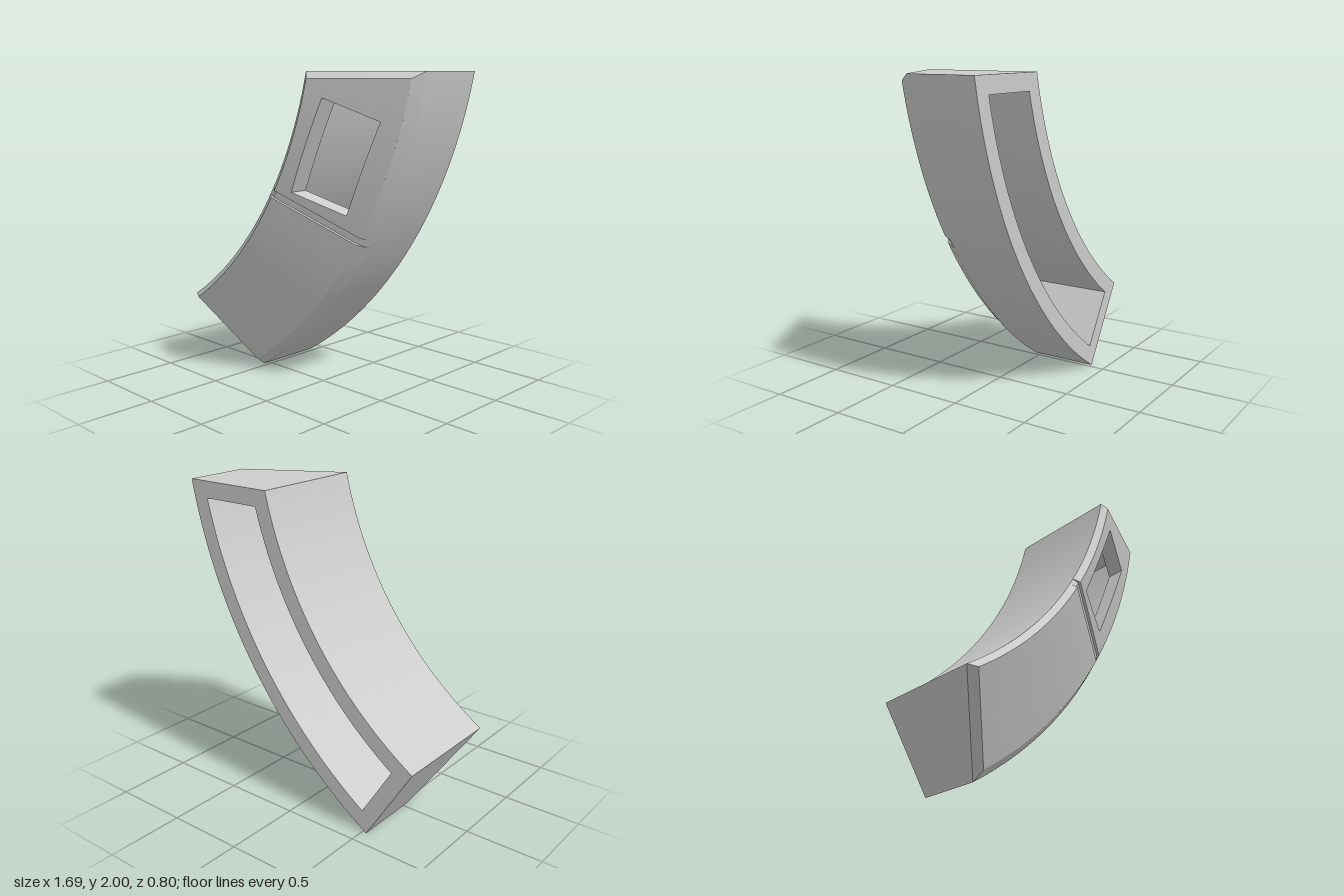
import * as THREE from 'three';
import { mergeGeometries, toCreasedNormals } from 'three/addons/utils/BufferGeometryUtils.js';

// Arc centre, radii, wall thickness, chamfer inset and drop, groove size, back plane
const CX = -2.13, CY = 2.565, RI = 2.423, RO = 3.023;
const WALL = 0.105, INSET = 0.041, DROP = 0.053, PANEL = 0.12, BACK = -0.4;
const GROOVE = 0.02, GROOVE_ANGLE = -0.552, GROOVE_HALF = 0.026;
const LOW_ANGLE = Math.atan2(-2.565, 1.6);
const WINDOW = [[0.08, 1.29], [0.37, 1.16], [0.62, 1.72], [0.33, 1.85]];

const lerp = THREE.MathUtils.lerp;
const point = (r, a, z) => [CX + r * Math.cos(a), CY + r * Math.sin(a), z];

// Sloping front and the parallel surface behind it
const front = r => 0.4 - 0.542 * (r - RI - INSET);
const rear = r => front(r) - PANEL;

// Angles of the end lines (inset by d) and of the groove edges
const low = (r, d) => LOW_ANGLE + Math.asin(d / r);
const high = (r, d) => Math.asin((2 - d - CY) / r);
const groove1 = r => GROOVE_ANGLE - Math.asin(GROOVE_HALF / r);
const groove2 = r => GROOVE_ANGLE + Math.asin(GROOVE_HALF / r);
const SECTIONS = [
  { from: low, to: groove1, cut: 0, n: 20 },
  { from: groove1, to: groove2, cut: GROOVE, n: 1 },
  { from: groove2, to: high, cut: 0, n: 20 },
];

// Grid surface from f(u, v); it faces along du x dv unless flipped
function patch(f, nu, nv, flip = false) {
  const pos = [], index = [];
  for (let j = 0; j <= nv; j++)
    for (let i = 0; i <= nu; i++) pos.push(...f(flip ? 1 - i / nu : i / nu, j / nv));
  for (let j = 0; j < nv; j++)
    for (let i = 0; i < nu; i++) {
      const a = j * (nu + 1) + i, b = a + 1, c = b + nu + 1, d = a + nu + 1;
      index.push(a, b, c, a, c, d);
    }
  const g = new THREE.BufferGeometry();
  g.setAttribute('position', new THREE.Float32BufferAttribute(pos, 3));
  g.setIndex(index);
  return g;
}

// Cavity side, back rim, outer side and chamfer, swept round all four edges
function buildWalls() {
  const stations = [
    [WALL, rear], [WALL, () => BACK], [0, () => BACK],
    [0, r => front(r) - DROP], [INSET, (r, cut) => front(r) - cut],
  ];
  const parts = [];
  for (let i = 0; i < stations.length - 1; i++) {
    const [d0, z0] = stations[i], [d1, z1] = stations[i + 1];
    const at = (r0, r1, angle, v, cut) => {
      const p = point(r0, angle(r0, d0), z0(r0, cut)), q = point(r1, angle(r1, d1), z1(r1, cut));
      return p.map((c, k) => lerp(c, q[k], v));
    };
    for (const s of SECTIONS) {
      const along = u => (r, d) => lerp(s.from(r, d), s.to(r, d), u);
      parts.push(patch((u, v) => at(RO - d0, RO - d1, along(u), v, s.cut), s.n, 1));
      parts.push(patch((u, v) => at(RI + d0, RI + d1, along(u), v, s.cut), s.n, 1, true));
    }
    const across = (u, d) => lerp(RI + d, RO - d, u);
    parts.push(patch((u, v) => at(across(u, d0), across(u, d1), low, v, 0), 8, 1));
    parts.push(patch((u, v) => at(across(u, d0), across(u, d1), high, v, 0), 8, 1, true));
  }
  return parts;
}

// Window edge k at t, as radius and angle
function windowEdge(k, t) {
  const a = WINDOW[k], b = WINDOW[(k + 1) % 4];
  const x = lerp(a[0], b[0], t) - CX, y = lerp(a[1], b[1], t) - CY;
  return [Math.hypot(x, y), Math.atan2(y, x)];
}

// Sloping panel inset by d, with the window left open in its upper section
function buildPanel(d, z, flip, cutGroove) {
  const r0 = RI + d, r1 = RO - d, parts = [];
  for (const s of SECTIONS.slice(0, 2)) {
    const cut = cutGroove ? s.cut : 0;
    parts.push(patch((u, v) => {
      const r = lerp(r0, r1, u);
      return point(r, lerp(s.from(r, d), s.to(r, d), v), z(r) - cut);
    }, 6, s.n, flip));
  }
  const edges = [
    t => [lerp(r0, r1, t), groove2(lerp(r0, r1, t))],
    t => [r1, lerp(groove2(r1), high(r1, d), t)],
    t => [lerp(r1, r0, t), high(lerp(r1, r0, t), d)],
    t => [r0, lerp(high(r0, d), groove2(r0), t)],
  ];
  edges.forEach((edge, k) => parts.push(patch((u, v) => {
    const o = edge(u), w = windowEdge(k, u);
    const r = lerp(o[0], w[0], v);
    return point(r, lerp(o[1], w[1], v), z(r));
  }, 16, 4, flip)));
  return parts;
}

// Sides of the window opening
function buildReveal() {
  return WINDOW.map((_, k) => patch((u, v) => {
    const [r, a] = windowEdge(k, u);
    return point(r, a, lerp(front(r), rear(r), v));
  }, 16, 1));
}

// Side walls of the groove, tapering out across the chamfers
function buildGroove() {
  const radii = [RI, RI + INSET, RO - INSET, RO];
  return [groove1, groove2].map((angle, k) => patch((u, v) => {
    const i = Math.round(u * 3), r = radii[i];
    const edge = i === 0 || i === 3;
    const top = front(r) - (edge ? DROP : 0);
    return point(r, angle(r), top - (edge ? 0 : GROOVE * (1 - v)));
  }, 3, 1, k === 0));
}

export function createModel() {
  const group = new THREE.Group();
  group.name = 'curvedHousing';
  const material = new THREE.MeshStandardMaterial({ color: 0xcccccc });
  const add = (name, parts) => {
    const mesh = new THREE.Mesh(toCreasedNormals(mergeGeometries(parts), 0.3), material);
    mesh.name = name;
    group.add(mesh);
  };
  add('shellWalls', buildWalls());
  add('frontPanel', buildPanel(INSET, front, false, true));
  add('cavityCeiling', buildPanel(WALL, rear, true, false));
  add('windowReveal', buildReveal());
  add('grooveSides', buildGroove());
  return group;
}
